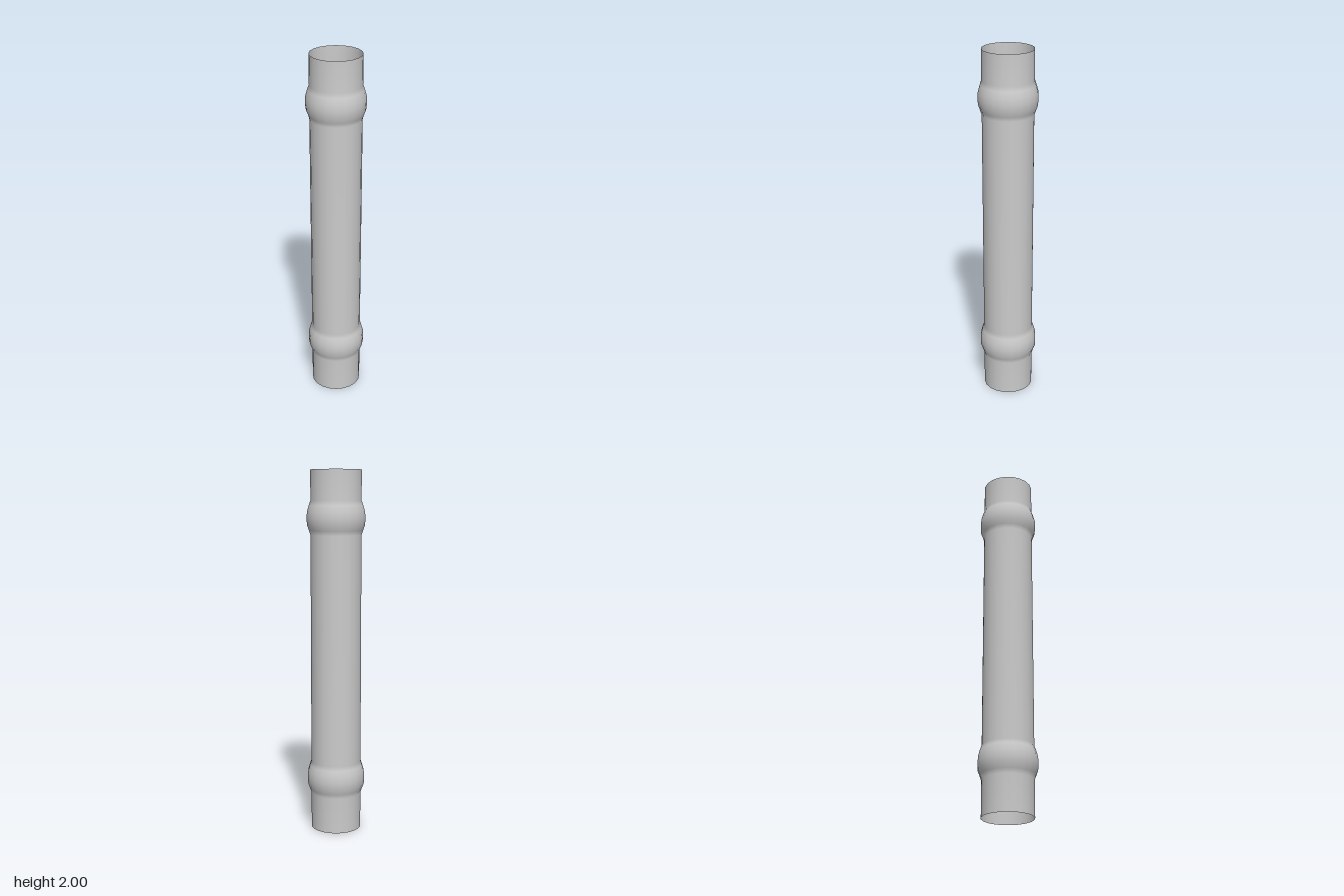
import * as THREE from 'three';

const SIDES = 20;
const RADIUS = 0.14;
const COLLAR_Y = [0.2, 1.65]; // lower edge of each bulged collar

// Radius at heights above the collar's lower edge
const COLLAR = [[0, RADIUS], [0.025, 0.148], [0.055, 0.159], [0.09, 0.161], [0.125, 0.159], [0.16, 0.149], [0.185, RADIUS]];

export function createModel() {
  const group = new THREE.Group();
  group.name = 'pipe';

  const material = new THREE.MeshStandardMaterial({ color: 0xcccccc, side: THREE.DoubleSide });

  // Open thin-walled tube with two swollen collars
  const profile = [new THREE.Vector2(RADIUS, 0)];
  for (const y of COLLAR_Y) {
    for (const [h, r] of COLLAR) profile.push(new THREE.Vector2(r, y + h));
  }
  profile.push(new THREE.Vector2(RADIUS, 2));

  const tube = new THREE.Mesh(new THREE.LatheGeometry(profile, SIDES), material);
  tube.name = 'collaredTube';
  group.add(tube);
  return group;
}
